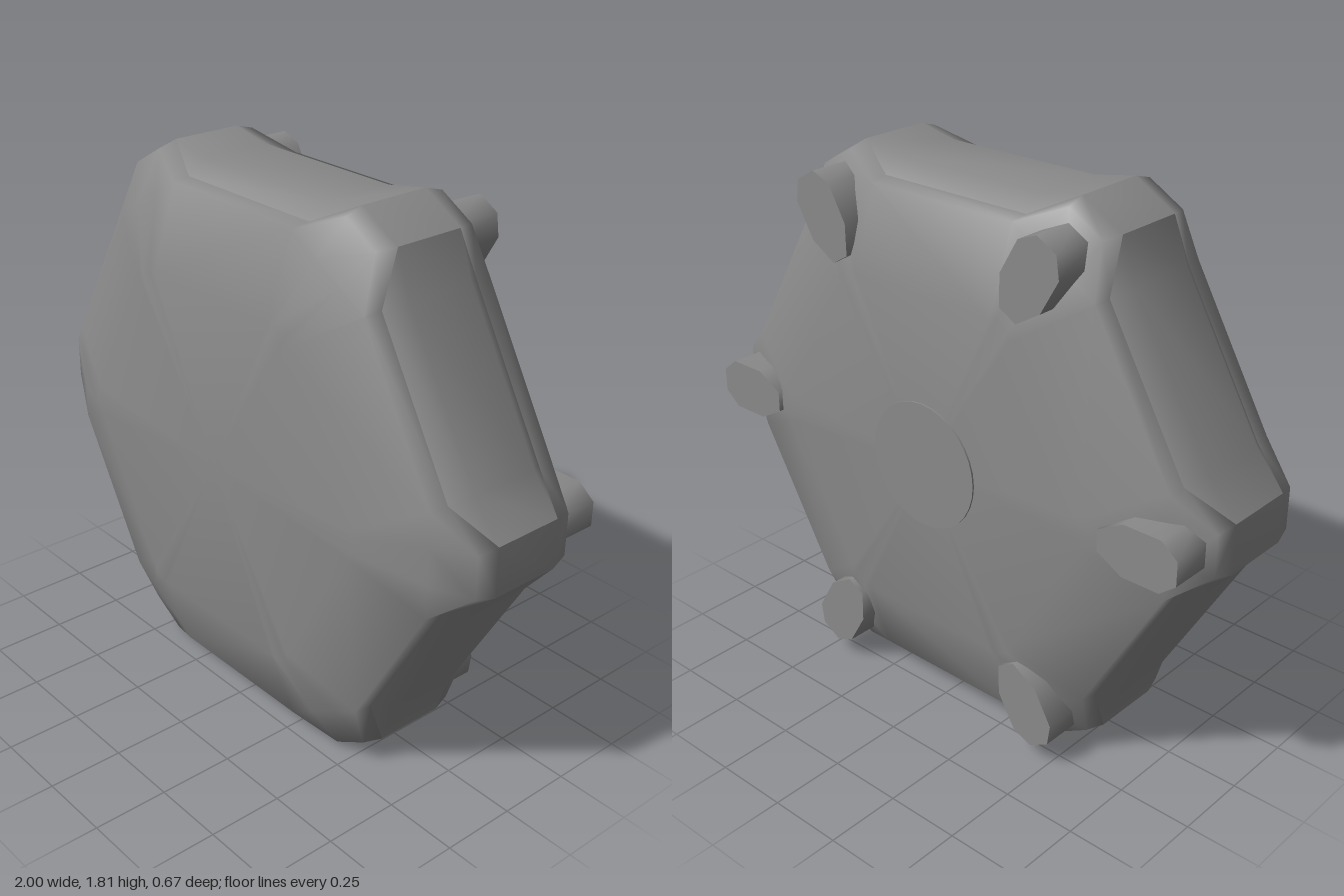
import * as THREE from 'three';
import { toCreasedNormals } from 'three/addons/utils/BufferGeometryUtils.js';

const SIDES = 6;
const CENTER_Y = 0.909;
const FACE_Z = 0.333;

// Rings of the front half, each [z, r, t, a, s]: corner distance r and half
// width t, side distance a and half length s. The back half mirrors them.
const FRONT_RINGS = [
  [FACE_Z, 0.64, 0.025, 0.56, 0.27],
  [0.245, 0.855, 0.06, 0.828, 0.28],
  [0.185, 0.985, 0.07, 0.835, 0.28],
  [0.12, 1.0, 0.082, 0.88, 0.28],
];

// Hexagonal outline with truncated corners: two corner points, two side points per sector
function hexRing([z, r, t, a, s]) {
  const points = [];
  const add = (angle, out, along) => points.push([
    out * Math.cos(angle) - along * Math.sin(angle),
    out * Math.sin(angle) + along * Math.cos(angle), z]);
  for (let k = 0; k < SIDES; k++) {
    const corner = k * Math.PI / 3, side = corner + Math.PI / 6;
    add(corner, r, -t);
    add(corner, r, t);
    add(side, a, -s);
    add(side, a, s);
  }
  return points;
}

function smoothGeometry(points, index) {
  const geometry = new THREE.BufferGeometry();
  geometry.setAttribute('position', new THREE.Float32BufferAttribute(points.flat(), 3));
  geometry.setIndex(index);
  geometry.computeVertexNormals();
  return geometry;
}

// Skin the rings, sorting triangles into the body and the octagonal side panels
function hullGeometries() {
  const back = FRONT_RINGS.map(([z, ...rest]) => [-z, ...rest]).reverse();
  const rings = [...FRONT_RINGS, ...back].map(hexRing);
  const points = rings.flat(), n = SIDES * 4, rows = rings.length - 1;
  const body = [], panels = [];

  // A panel spans the side points of rings 2 to 5 and the corner points of rings 3 and 4
  const onPanel = (v) => {
    const ring = Math.floor(v / n), isSide = v % 4 >= 2;
    return isSide ? ring >= 2 && ring <= 5 : ring === 3 || ring === 4;
  };
  for (let i = 0; i < rows; i++) {
    for (let j = 0; j < n; j++) {
      const a = i * n + j, b = i * n + (j + 1) % n, c = a + n, d = b + n;
      // Diagonals follow the cut corners of the panels
      const falling = (j % 4 === 3) === (i < rows / 2);
      const triangles = falling ? [[a, c, d], [a, d, b]] : [[a, c, b], [b, c, d]];
      for (const triangle of triangles) {
        const isPanel = j % 4 !== 0 && triangle.every(onPanel);
        (isPanel ? panels : body).push(...triangle);
      }
    }
  }

  // Flat front and back faces
  const front = points.push([0, 0, FACE_Z]) - 1;
  const rear = points.push([0, 0, -FACE_Z]) - 1;
  for (let j = 0; j < n; j++) {
    const k = (j + 1) % n;
    body.push(front, j, k, rear, rows * n + k, rows * n + j);
  }
  return { body: smoothGeometry(points, body), panels: smoothGeometry(points, panels) };
}

export function createModel() {
  const model = new THREE.Group();
  const grey = new THREE.MeshStandardMaterial({ color: 0x8a8a8a });
  const hull = new THREE.Group();
  hull.name = 'hexagonalPod';
  hull.position.set(0, CENTER_Y, 0.004);
  model.add(hull);

  const addPart = (name, geometry) => {
    const mesh = new THREE.Mesh(geometry, grey);
    mesh.name = name;
    hull.add(mesh);
    return mesh;
  };

  // Rounded body and its six bulging side panels
  const { body, panels } = hullGeometries();
  addPart('body', body);
  addPart('sidePanels', panels);

  // Feet: long octagonal pads under each corner, facing back
  const pad = new THREE.Shape([
    [0.68, -0.035], [0.77, -0.085], [0.9, -0.085], [0.957, -0.04],
    [0.957, 0.04], [0.9, 0.085], [0.77, 0.085], [0.68, 0.035],
  ].map(([x, y]) => new THREE.Vector2(x, y)));
  const footGeometry = toCreasedNormals(
    new THREE.ExtrudeGeometry(pad, { depth: 0.18, bevelEnabled: false }), 1.15);
  footGeometry.translate(0, 0, -FACE_Z);
  for (let k = 0; k < SIDES; k++) {
    addPart('foot' + (k + 1), footGeometry).rotation.z = k * Math.PI / 3;
  }

  // Thin round plate in the middle of the back
  const plate = new THREE.CylinderGeometry(0.21, 0.21, 0.02, 32);
  plate.rotateX(Math.PI / 2);
  addPart('backPlate', plate).position.z = -FACE_Z + 0.004;

  return model;
}
